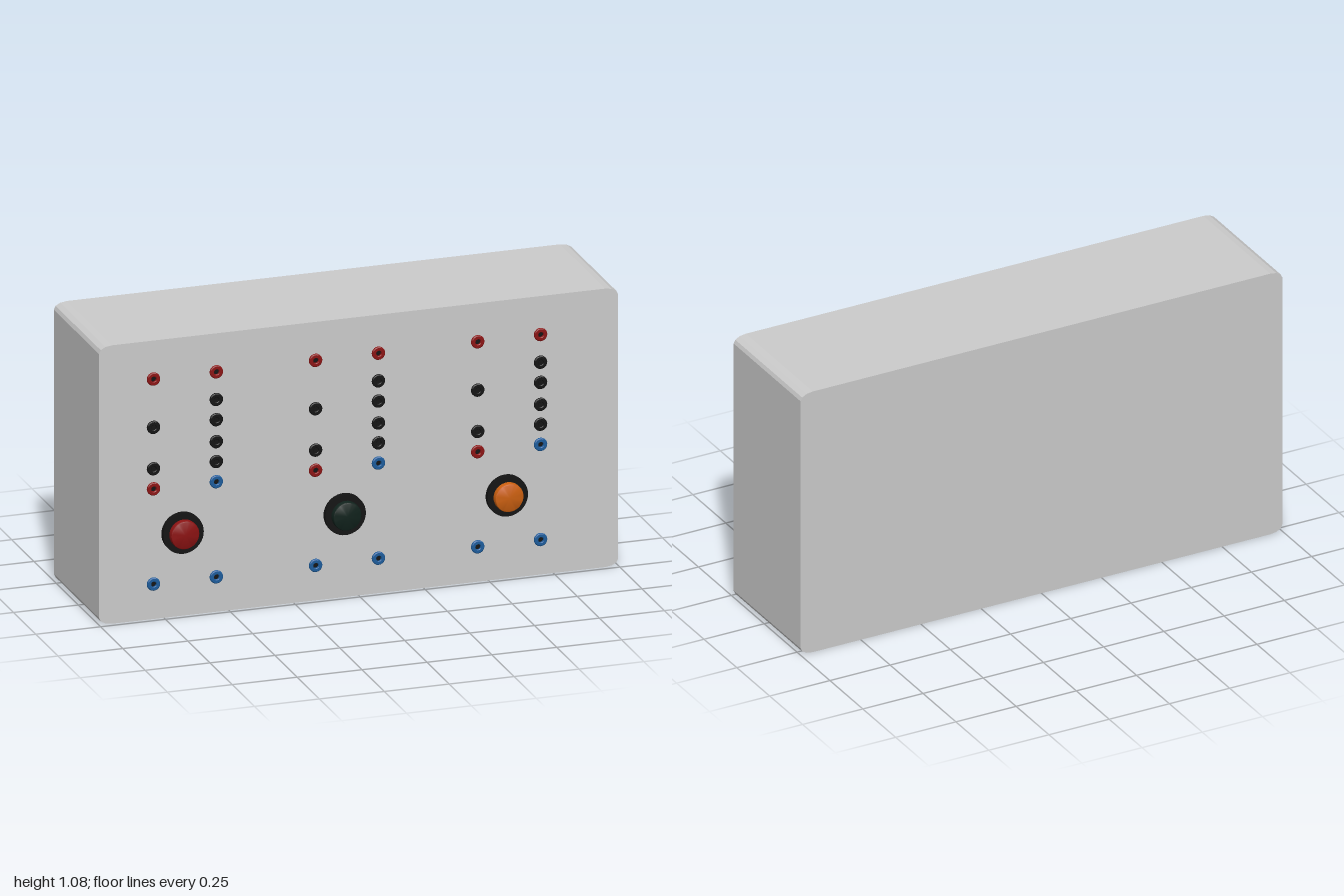
import * as THREE from 'three';
import { toCreasedNormals } from 'three/addons/utils/BufferGeometryUtils.js';

const WIDTH = 2, HEIGHT = 1.077, BACK = -0.277, FACE = 0.232;
const material = (color) => new THREE.MeshStandardMaterial({ color });
const black = material(0x141414);
const red = material(0x8c1414);
const blue = material(0x1c5c9c);

// Profile revolved about the z axis, rising towards the front
function turned(points, segments) {
  const profile = points.map(([r, z]) => new THREE.Vector2(r, z));
  return toCreasedNormals(new THREE.LatheGeometry(profile, segments).rotateX(Math.PI / 2), 0.6);
}

function addMesh(parent, name, geometry, mat, x = 0, y = 0, z = 0) {
  const mesh = new THREE.Mesh(geometry, mat);
  mesh.name = name;
  mesh.position.set(x, y, z);
  parent.add(mesh);
  return mesh;
}

// Case outline: rectangle with slightly flattened, three-facet corners
function caseGeometry() {
  const rx = 0.05, ry = 0.028, points = [];
  const corners = [[1, 1], [-1, 1], [-1, -1], [1, -1]];
  corners.forEach(([sx, sy], i) => {
    for (let k = 0; k <= 3; k++) {
      const a = (i + k / 3) * Math.PI / 2;
      points.push(new THREE.Vector2(
        sx * (WIDTH / 2 - rx) + rx * Math.cos(a),
        HEIGHT / 2 + sy * (HEIGHT / 2 - ry) + ry * Math.sin(a)));
    }
  });
  const geometry = new THREE.ExtrudeGeometry(new THREE.Shape(points), { depth: FACE - BACK, bevelEnabled: false });
  return geometry.translate(0, 0, BACK);
}

export function createModel() {
  const model = new THREE.Group();
  model.name = 'controlBox';
  addMesh(model, 'case', caseGeometry(), material(0xcccccc));

  // Shared socket and push-button geometries
  const ring = turned([[0.022, 0], [0.025, 0.002], [0.025, 0.008], [0.022, 0.011],
    [0.012, 0.011], [0.010, 0.009], [0.010, 0]], 20);
  const hole = new THREE.CircleGeometry(0.0105, 16);
  const bezel = turned([[0.078, 0], [0.078, 0.022], [0, 0.022]], 40);
  const cap = turned([[0.055, 0], [0.055, 0.017], [0.053, 0.021], [0.049, 0.023], [0, 0.023]], 32);

  // Socket rows of each column: height and colour
  const leftColumn = [[0.93, red], [0.743, black], [0.583, black], [0.505, red], [0.137, blue]];
  const rightColumn = [[0.93, red], [0.823, black], [0.745, black], [0.66, black], [0.583, black],
    [0.505, blue], [0.137, blue]];

  // Three identical channels, differing in button colour
  [0x8c1212, 0x10221c, 0xcc6010].forEach((color, i) => {
    const channel = new THREE.Group();
    channel.name = 'channel' + (i + 1);
    channel.position.set(-0.682 + i * 0.6245, 0, FACE);
    model.add(channel);

    [[-0.11, leftColumn], [0.132, rightColumn]].forEach(([x, column]) => {
      for (const [y, mat] of column) {
        const socket = new THREE.Group();
        socket.name = 'socket';
        socket.position.set(x, y, 0);
        addMesh(socket, 'socketRing', ring, mat);
        addMesh(socket, 'socketHole', hole, black, 0, 0, 0.002);
        channel.add(socket);
      }
    });

    addMesh(channel, 'buttonBezel', bezel, black, 0, 0.325, 0);
    addMesh(channel, 'buttonCap', cap, material(color), 0, 0.325, 0.022);
  });
  return model;
}
